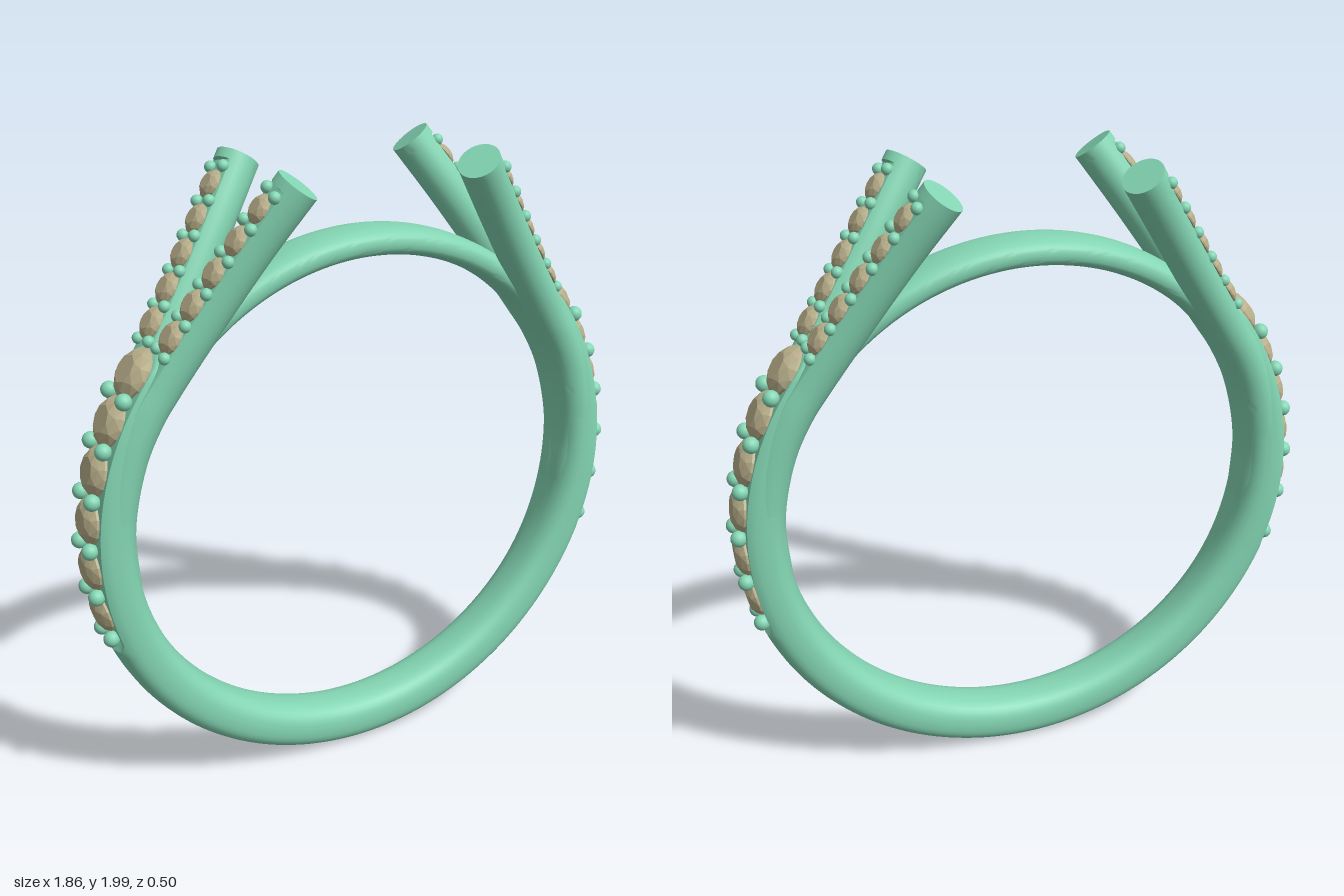
import * as THREE from 'three';
import { toCreasedNormals } from 'three/addons/utils/BufferGeometryUtils.js';
import { ConvexGeometry } from 'three/addons/geometries/ConvexGeometry.js';

const metal = new THREE.MeshStandardMaterial({ color: 0x84d6b4 });
const stone = new THREE.MeshStandardMaterial({ color: 0xb8ae8a });
const CY = 0.917; // height of the ring centre
const SIDES = 32;
const rad = THREE.MathUtils.degToRad;
const smooth = THREE.MathUtils.smoothstep;

// Skin a list of rings (arrays of Vector3); either joined end to end or capped
function loft(rings, closed) {
  const pos = [];
  const tri = (...p) => p.forEach(v => pos.push(v.x, v.y, v.z));
  const n = rings.length;
  for (let i = 0; i < (closed ? n : n - 1); i++) {
    const A = rings[i], B = rings[(i + 1) % n];
    for (let k = 0; k < SIDES; k++) {
      const m = (k + 1) % SIDES;
      tri(A[k], A[m], B[k]);
      tri(B[k], A[m], B[m]);
    }
  }
  if (!closed) {
    [[rings[0], false], [rings[n - 1], true]].forEach(([R, end]) => {
      const c = R.reduce((s, v) => s.add(v), new THREE.Vector3()).divideScalar(SIDES);
      R.forEach((v, k) => {
        const w = R[(k + 1) % SIDES];
        end ? tri(c, v, w) : tri(c, w, v);
      });
    });
  }
  const g = new THREE.BufferGeometry();
  g.setAttribute('position', new THREE.Float32BufferAttribute(pos, 3));
  return toCreasedNormals(g, 0.6);
}

// Full hoop: thick below, flattened under the stones, thin across the top
function hoopGeometry() {
  const rings = [], N = 240, inner = 0.762;
  const sq = v => Math.sign(v) * Math.abs(v) ** 0.75;
  for (let i = 0; i < N; i++) {
    const th = (i / N) * Math.PI * 2;
    const lift = THREE.MathUtils.radToDeg(Math.asin(Math.sin(th)));
    const top = smooth(lift, 37, 47);
    const outer = THREE.MathUtils.lerp(0.912, 0.847, top);
    const cut = lift > -20 ? 0.885 : 1;
    const half = 0.085 + 0.011 * smooth(lift, -40, 0) * (1 - top);
    const ring = [];
    for (let k = 0; k < SIDES; k++) {
      const a = (k / SIDES) * Math.PI * 2;
      const r = Math.min(cut, (inner + outer) / 2 + (outer - inner) / 2 * sq(Math.cos(a)));
      ring.push(new THREE.Vector3(r * Math.cos(th), CY + r * Math.sin(th), -half * sq(Math.sin(a))));
    }
    rings.push(ring);
  }
  return loft(rings, true);
}

// Centre line of one split arm: follows the hoop, then leaves on its tangent
function armCurve(sx, sz) {
  const pts = [[-10, 0.02], [5, 0.03], [20, 0.038], [30, 0.046], [37, 0.054]].map(([d, z]) =>
    new THREE.Vector3(sx * 0.826 * Math.cos(rad(d)), CY + 0.826 * Math.sin(rad(d)), sz * z));
  [[0.534, 1.6, 0.088], [0.4, 1.8, 0.138], [0.29, 1.96, 0.19]].forEach(([x, y, z]) =>
    pts.push(new THREE.Vector3(sx * x, y, sz * z)));
  return new THREE.CatmullRomCurve3(pts);
}

// Point, outward normal and sideways direction on an arm
function armFrame(curve, u, sx) {
  const p = curve.getPointAt(u), t = curve.getTangentAt(u);
  const n = new THREE.Vector3(sx * t.y, -sx * t.x, 0).normalize();
  return { p, t, n, b: new THREE.Vector3().crossVectors(t, n) };
}

function armGeometry(curve, sx) {
  const len = curve.getLength(), rings = [];
  const us = Array.from({ length: 61 }, (_, i) => (i / 60) * (1 - 0.032 / len));
  us.push(1 - 0.03 / len, 1);
  us.forEach((u, i) => {
    const { p, n, b } = armFrame(curve, u, sx);
    const cut = i > 60 ? 1 : 0.048; // flat seat for the stones
    rings.push(Array.from({ length: SIDES }, (_, k) => {
      const a = (k / SIDES) * Math.PI * 2;
      return p.clone().addScaledVector(n, Math.min(cut, 0.064 * Math.cos(a)))
        .addScaledVector(b, 0.064 * Math.sin(a));
    }));
  });
  return loft(rings, false);
}

// Round faceted stone of unit radius, table towards +y
function stoneGeometry() {
  const pts = [new THREE.Vector3(0, -0.6, 0)];
  const circle = (count, r, y, turn) => {
    for (let i = 0; i < count; i++) {
      const a = ((i + turn) / count) * Math.PI * 2;
      pts.push(new THREE.Vector3(r * Math.cos(a), y, r * Math.sin(a)));
    }
  };
  circle(8, 0.55, 0.42, 0);
  circle(8, 0.82, 0.27, 0.5);
  circle(16, 1, 0.05, 0);
  circle(16, 1, -0.05, 0);
  return new ConvexGeometry(pts);
}

export function createModel() {
  const model = new THREE.Group();
  const stoneGeo = stoneGeometry();
  const beadGeo = new THREE.SphereGeometry(1, 16, 12);
  const add = (parent, name, geo, mat) => {
    const m = new THREE.Mesh(geo, mat);
    m.name = name;
    parent.add(m);
    return m;
  };
  const addStone = (parent, p, t, n, r) => {
    const m = add(parent, 'stone', stoneGeo, stone);
    const side = new THREE.Vector3().crossVectors(t, n);
    m.quaternion.setFromRotationMatrix(new THREE.Matrix4().makeBasis(t, n, side));
    m.position.copy(p);
    m.scale.setScalar(r);
  };
  const addBead = (parent, p, r) => {
    const m = add(parent, 'bead', beadGeo, metal);
    m.position.copy(p);
    m.scale.setScalar(r);
  };

  add(model, 'hoop', hoopGeometry(), metal);

  for (const sx of [1, -1]) {
    const sideName = sx > 0 ? 'left' : 'right';

    // Row of large stones with bead pairs between them
    const row = new THREE.Group();
    row.name = sideName + 'ShoulderStones';
    model.add(row);
    const dir = deg => new THREE.Vector3(sx * Math.cos(rad(deg)), Math.sin(rad(deg)), 0);
    for (let i = 0; i < 6; i++) {
      const n = dir(-13 + 9.8 * i);
      const t = new THREE.Vector3(-n.y, n.x, 0);
      const p = n.clone().multiplyScalar(0.888);
      p.y += CY;
      addStone(row, p, t, n, 0.068 + 0.0025 * i);
      const q = dir(-18 + 9.8 * i).multiplyScalar(0.904);
      q.y += CY;
      for (const s of [1, -1]) {
        q.z = s * (0.041 + 0.0006 * i * i);
        addBead(row, q, 0.025);
      }
    }

    // Forked arms, each with its own row of small stones
    for (const sz of [1, -1]) {
      const arm = new THREE.Group();
      arm.name = sideName + (sz > 0 ? 'Front' : 'Back') + 'Arm';
      model.add(arm);
      const curve = armCurve(sx, sz), len = curve.getLength();
      add(arm, 'armBar', armGeometry(curve, sx), metal);
      for (let i = 0; i < 6; i++) {
        if (i < 5) {
          const f = armFrame(curve, 1 - (0.11 + 0.108 * i) / len, sx);
          addStone(arm, f.p.addScaledVector(f.n, 0.051), f.t, f.n, 0.044 + 0.0018 * i);
        }
        const f = armFrame(curve, 1 - (0.056 + 0.108 * i) / len, sx);
        for (const s of [1, -1]) {
          addBead(arm, f.p.clone().addScaledVector(f.n, 0.053).addScaledVector(f.b, s * 0.034), 0.018);
        }
      }
    }
  }
  return model;
}
